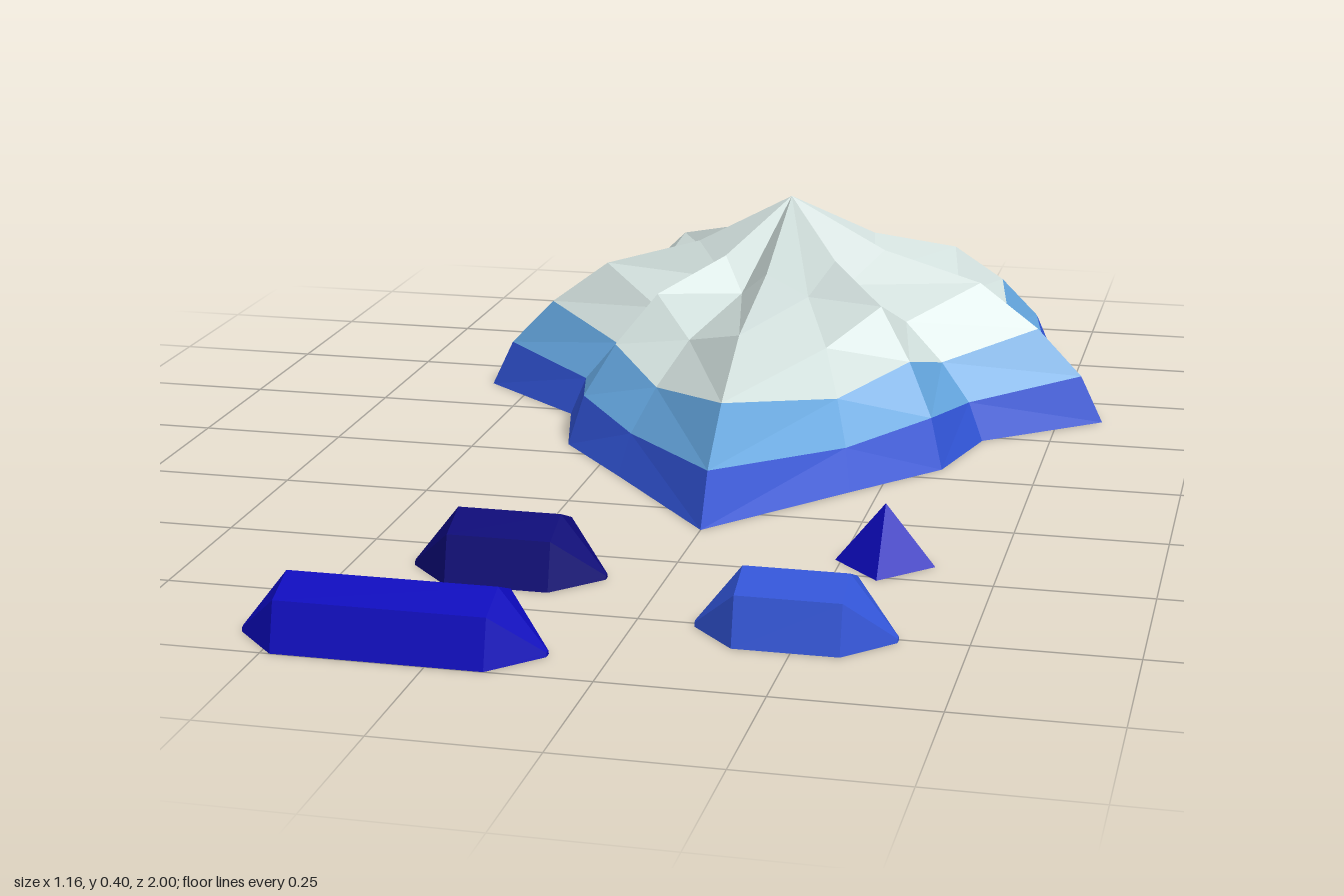
import * as THREE from 'three';

const mat = (name, color) => new THREE.MeshStandardMaterial({ name, color, flatShading: true });

// Flat-faced mesh from a list of corner points, three per triangle
function facetMesh(name, points, material) {
  const g = new THREE.BufferGeometry().setFromPoints(points);
  g.computeVertexNormals();
  const m = new THREE.Mesh(g, material);
  m.name = name;
  return m;
}
const quad = (a, b, c, d) => [a, b, c, a, c, d];

// Fluted shell: 16 spokes around the peak, alternating ridges and valleys
function makeShell(rim, band, top) {
  const half = [0.73, 0.53, 0.475, 0.413, 0.58, 0.53, 0.622, 0.525, 0.615];
  const radii = [...half, ...half.slice(1, 8).reverse()];
  const reach = [1, 0.93, 0.79, 0.605, 0.3];
  const ridgeY = [0, 0.085, 0.17, 0.25, 0.302];
  const valleyY = [0, 0.067, 0.132, 0.195, 0.245];
  const n = radii.length;
  const point = (level, i) => {
    const s = i % n;
    const a = (s / n) * Math.PI * 2;
    const r = radii[s] * reach[level];
    return new THREE.Vector3(Math.sin(a) * r, (s % 2 ? valleyY : ridgeY)[level], Math.cos(a) * r);
  };
  const peak = new THREE.Vector3(0, 0.395, 0);
  const centre = new THREE.Vector3();

  const ring = (level) => {
    const out = [];
    for (let i = 0; i < n; i++) {
      const a = point(level, i), b = point(level, i + 1);
      const c = point(level + 1, i + 1), d = point(level + 1, i);
      // split each quad symmetrically about its ridge
      out.push(...(i % 2 ? [a, b, d, b, c, d] : quad(a, b, c, d)));
    }
    return out;
  };
  const base = [], cap = [];
  for (let i = 0; i < n; i++) {
    base.push(centre, point(0, i + 1), point(0, i));
    cap.push(point(4, i), point(4, i + 1), peak);
  }

  const shell = new THREE.Group();
  shell.name = 'shell';
  shell.add(
    facetMesh('shellRim', [...ring(0), ...base], rim),
    facetMesh('shellBand', ring(1), band),
    facetMesh('shellTop', [...ring(2), ...ring(3), ...cap], top)
  );
  shell.position.z = -0.385;
  return shell;
}

// Half-faceted bar lying along x with tapered ends
function makeBar(name, x0, x1, z, material) {
  const profile = [[0.08, 0], [0.06, 0.075], [0, 0.1], [-0.06, 0.075], [-0.08, 0]];
  const sections = [[x0, 0.08], [x0 + 0.072, 1], [x1 - 0.072, 1], [x1, 0.08]].map(([x, s]) =>
    profile.map(([pz, py]) => new THREE.Vector3(x, py * s, pz * s)));
  const pts = [];
  for (let k = 0; k < 3; k++) {
    for (let i = 0; i < 5; i++) {
      const j = (i + 1) % 5;
      pts.push(...quad(sections[k][i], sections[k + 1][i], sections[k + 1][j], sections[k][j]));
    }
  }
  const [l, r] = [sections[0], sections[3]];
  for (let i = 1; i < 4; i++) pts.push(l[0], l[i], l[i + 1], r[0], r[i + 1], r[i]);
  const m = facetMesh(name, pts, material);
  m.position.z = z;
  return m;
}

export function createModel() {
  const royal = mat('royalBlue', 0x3154d6);
  const sky = mat('skyBlue', 0x62a3db);
  const pale = mat('paleGrey', 0xd0dedb);
  const deep = mat('deepBlue', 0x0c09bd);
  const navy = mat('navy', 0x0b0877);

  const model = new THREE.Group();
  model.name = 'shellWithPebbles';
  model.add(
    makeShell(royal, sky, pale),
    makeBar('longPebble', -0.557, -0.09, 0.92, deep),
    makeBar('darkPebble', -0.4, -0.09, 0.595, navy),
    makeBar('lightPebble', 0.09, 0.395, 0.757, royal)
  );

  // Small four-sided pyramid with corners on the axes
  const pyramid = new THREE.Mesh(new THREE.ConeGeometry(0.08, 0.1, 4), deep);
  pyramid.name = 'pyramidPebble';
  pyramid.position.set(0.32, 0.05, 0.435);
  model.add(pyramid);

  return model;
}
